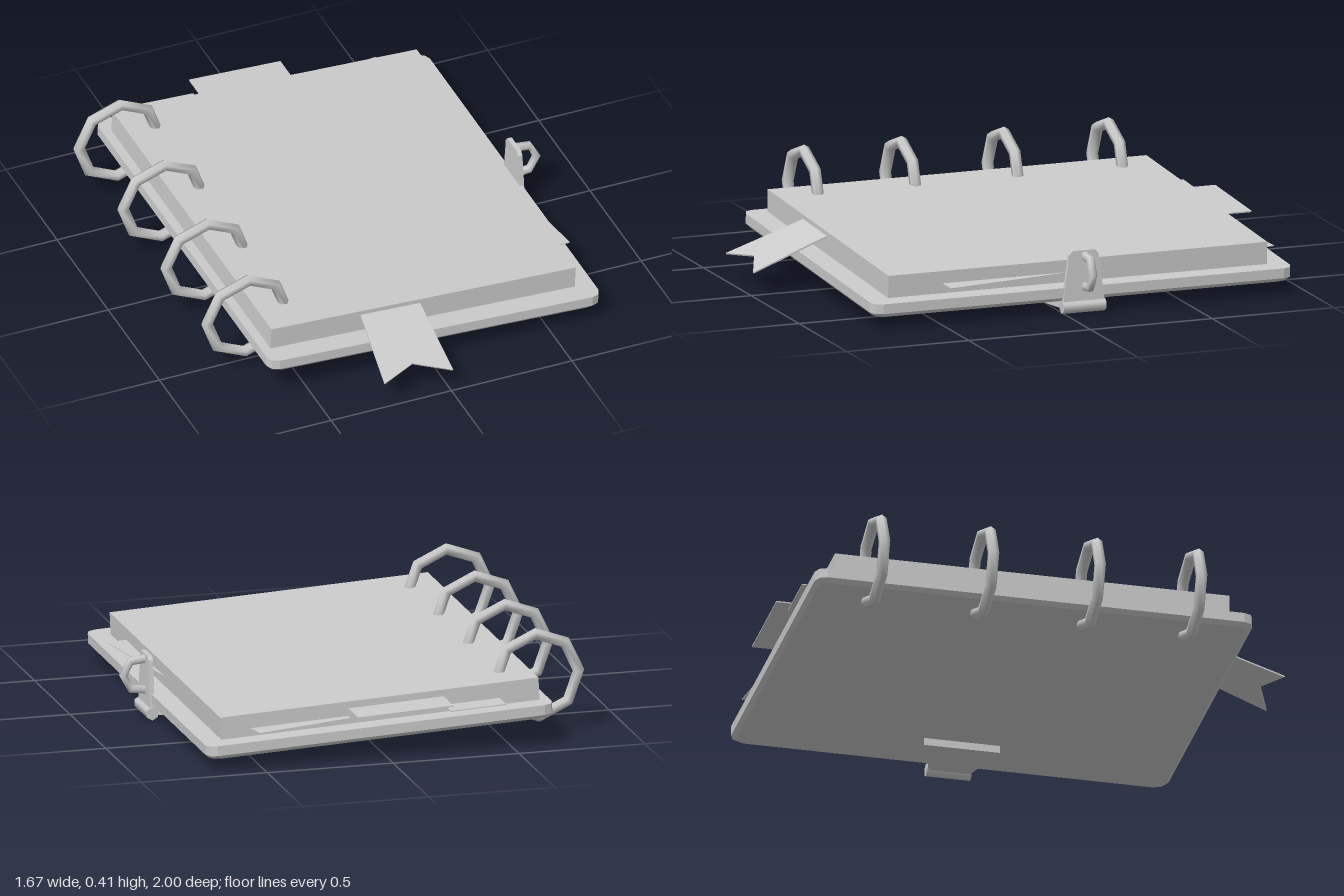
import * as THREE from 'three';

const material = new THREE.MeshStandardMaterial({ color: 0xcccccc, side: THREE.DoubleSide });
const flat = new THREE.MeshStandardMaterial({ color: 0xcccccc, flatShading: true, side: THREE.DoubleSide });

function add(parent, name, geometry, x = 0, y = 0, z = 0, mat = flat) {
  const mesh = new THREE.Mesh(geometry, mat);
  mesh.name = name;
  mesh.position.set(x, y, z);
  parent.add(mesh);
  return mesh;
}

// Horizontal slab from an outline of [x, z] points, rising from y = 0
function slab(points, thickness, steps = 1) {
  const shape = new THREE.Shape(points.map(([x, z]) => new THREE.Vector2(x, -z)));
  return new THREE.ExtrudeGeometry(shape, { depth: thickness, steps, bevelEnabled: false }).rotateX(-Math.PI / 2);
}

// Cover board with rounded corners and a chamfered underside
function coverGeometry(w, d, h, r, chamfer) {
  const points = [];
  for (let c = 0; c < 4; c++) {
    const sx = c === 0 || c === 3 ? 1 : -1, sz = c < 2 ? 1 : -1;
    for (let i = 0; i <= 2; i++) {
      const a = (c + i / 2) * Math.PI / 2;
      points.push([sx * (w / 2 - r) + r * Math.cos(a), sz * (d / 2 - r) + r * Math.sin(a)]);
    }
  }
  const geometry = slab(points, h, 2);
  const p = geometry.attributes.position;
  for (let i = 0; i < p.count; i++) {
    const y = p.getY(i);
    if (y < h * 0.25) {
      p.setX(i, p.getX(i) * (1 - 2 * chamfer / w));
      p.setZ(i, p.getZ(i) * (1 - 2 * chamfer / d));
    } else if (y < h * 0.75) p.setY(i, chamfer);
  }
  geometry.computeVertexNormals();
  return geometry;
}

export function createModel() {
  const model = new THREE.Group();
  model.name = 'ringBinder';

  // The notebook leans slightly down towards the clasp
  const book = new THREE.Group();
  book.name = 'notebook';
  book.rotation.z = -0.05;
  model.add(book);

  add(book, 'cover', coverGeometry(1.38, 1.725, 0.055, 0.04, 0.016), 0.025, 0.082, -0.083);
  add(book, 'pages', new THREE.BoxGeometry(1.265, 0.092, 1.555), 0.005, 0.179, -0.087);

  // Binding rings
  for (const z of [-0.72, -0.29, 0.13, 0.53]) {
    add(book, 'bindingRing', new THREE.TorusGeometry(0.164, 0.023, 6, 8), -0.662, 0.192, z, material);
  }

  // Divider tabs and loose sheets sticking out of the stack
  add(book, 'wideTab', slab([[-0.25, -0.7], [0.13, -0.7], [0.13, -1], [-0.25, -1]], 0.005), 0, 0.193);
  add(book, 'smallTab', slab([[-0.47, -0.7], [-0.25, -0.7], [-0.25, -0.955], [-0.47, -0.955]], 0.004), 0, 0.16);
  add(book, 'looseBackSheet', slab([[0.13, -0.7], [0.5, -0.7], [0.52, -0.865], [0.505, -0.945], [0.13, -0.895]], 0.003), 0, 0.165);
  add(book, 'looseSideSheet', slab([[0.5, -0.05], [0.64, -0.05], [0.713, 0.46], [0.5, 0.48]], 0.003), 0, 0.173);

  // Drooping bookmark ribbon with a notched end
  const ribbon = add(book, 'ribbon', slab(
    [[-0.255, -0.02], [-0.01, -0.02], [0.005, 0.325], [-0.14, 0.26], [-0.28, 0.325]], 0.006), 0, 0.202, 0.69);
  ribbon.rotation.x = 0.36;

  // Clasp: plate under the cover, hinge, upright hasp and loop
  add(book, 'claspBase', slab([[0.5, -0.23], [0.7, -0.16], [0.7, 0.0], [0.5, 0.07]], 0.03), 0, 0.052);
  const hinge = add(model, 'claspHinge', new THREE.CylinderGeometry(0.026, 0.026, 0.175, 6), 0.72, 0.026, -0.08, material);
  hinge.rotation.x = Math.PI / 2;

  const hasp = new THREE.Shape([[-0.085, 0], [0.085, 0], [0.06, 0.19], [0.045, 0.205], [-0.045, 0.205], [-0.06, 0.19]]
    .map(([x, y]) => new THREE.Vector2(x, y)));
  const plate = add(model, 'claspPlate', new THREE.ExtrudeGeometry(hasp, { depth: 0.018, bevelEnabled: false }), 0.71, 0.04, -0.08);
  plate.rotation.y = Math.PI / 2;

  const path = new THREE.CatmullRomCurve3([[0.72, 0.225], [0.79, 0.214], [0.813, 0.163], [0.79, 0.112], [0.72, 0.102]]
    .map(([x, y]) => new THREE.Vector3(x, y, -0.085)));
  add(model, 'claspLoop', new THREE.TubeGeometry(path, 4, 0.017, 6), 0, 0, 0, material);

  return model;
}
